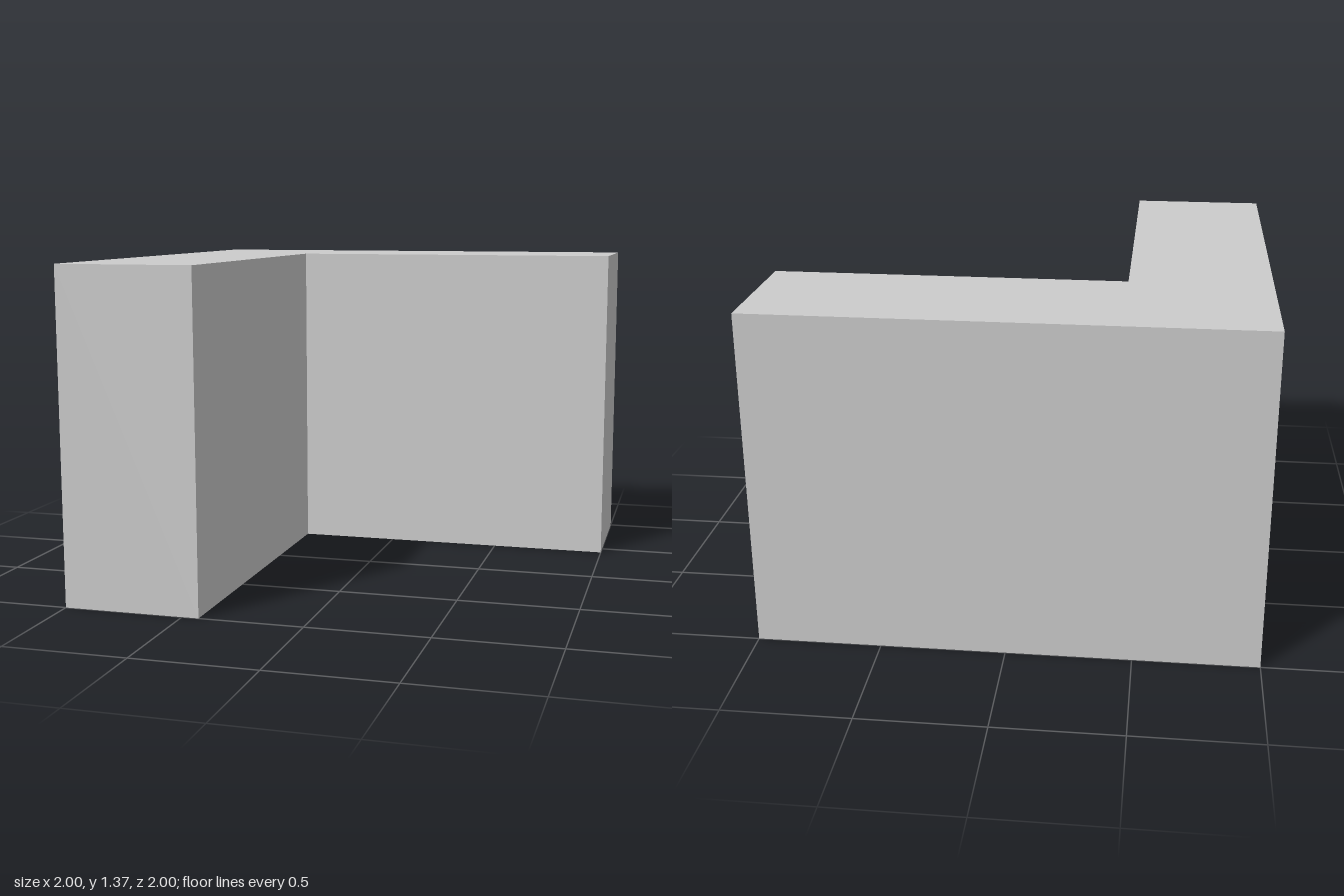
import * as THREE from 'three';

const HEIGHT = 1.374;
const INNER = 0.43; // distance of the inner corner from the centre

export function createModel() {
  const group = new THREE.Group();
  group.name = 'cornerBlock';

  // L-shaped footprint, drawn with shape y = -z
  const footprint = new THREE.Shape([
    [-1, -1], [-INNER, -1], [-INNER, INNER], [1, INNER], [1, 1], [-1, 1],
  ].map(([x, y]) => new THREE.Vector2(x, y)));

  // Raise the footprint into a solid standing on the ground
  const geometry = new THREE.ExtrudeGeometry(footprint, { depth: HEIGHT, bevelEnabled: false });
  geometry.rotateX(-Math.PI / 2);

  const material = new THREE.MeshStandardMaterial({ color: 0xcccccc, flatShading: true });
  const walls = new THREE.Mesh(geometry, material);
  walls.name = 'cornerWalls';
  group.add(walls);
  return group;
}
